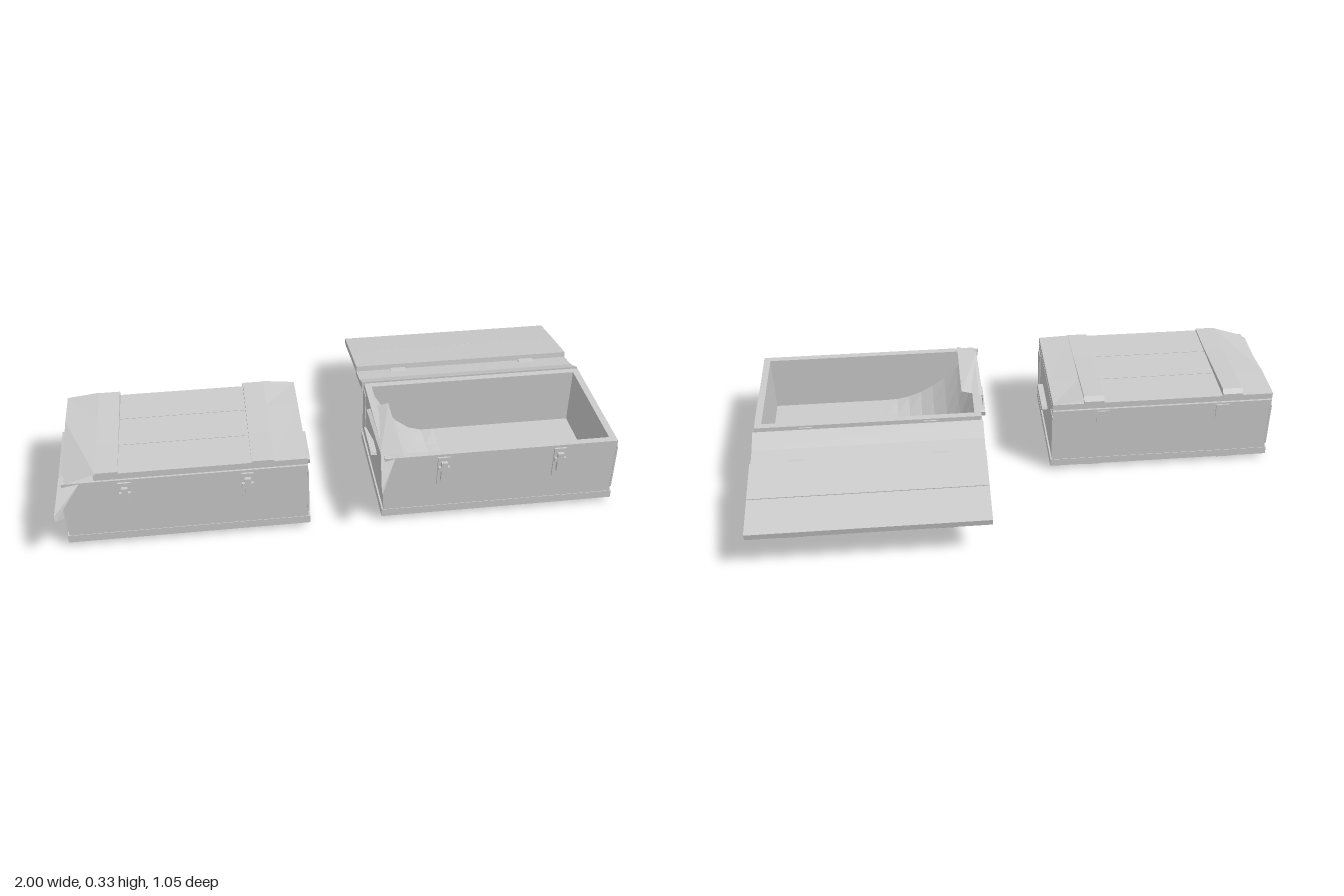
import * as THREE from 'three';

const mat = new THREE.MeshStandardMaterial({ color: 0xcccccc, flatShading: true, side: THREE.DoubleSide });

function add(parent, name, geometry) {
  const mesh = new THREE.Mesh(geometry, mat);
  mesh.name = name;
  parent.add(mesh);
  return mesh;
}

// Box given by its limits on each axis
function box(parent, name, x0, x1, y0, y1, z0, z1) {
  const g = new THREE.BoxGeometry(x1 - x0, y1 - y0, z1 - z0);
  g.translate((x0 + x1) / 2, (y0 + y1) / 2, (z0 + z1) / 2);
  return add(parent, name, g);
}

// Side profile in [z, y] points, swept along x from x0 to x1
function sweepX(parent, name, points, x0, x1) {
  const shape = new THREE.Shape(points.map(([z, y]) => new THREE.Vector2(-z, y)));
  const g = new THREE.ExtrudeGeometry(shape, { depth: x1 - x0, bevelEnabled: false });
  g.rotateY(Math.PI / 2).translate(x0, 0, 0);
  return add(parent, name, g);
}

// Thin sheet from corner points and triangles
function sheet(parent, name, corners, faces) {
  const g = new THREE.BufferGeometry();
  g.setAttribute('position', new THREE.Float32BufferAttribute(corners.flat(), 3));
  g.setIndex(faces.flat());
  g.computeVertexNormals();
  return add(parent, name, g);
}

const HX = 0.42, Z0 = -0.043, Z1 = 0.433; // half length, back and front of a crate
const SEAMS = [Z0, 0.115, 0.272, Z1];     // plank edges
const BATTEN = 0.265;

function makeBase(crate) {
  for (let i = 0; i < 3; i++) {
    box(crate, 'basePlank', -HX - 0.006, HX + 0.006, 0.018, 0.048, SEAMS[i] + (i ? 0.001 : -0.002), SEAMS[i + 1] - (i < 2 ? 0.001 : -0.002));
  }
  for (const s of [-1, 1]) {
    sweepX(crate, 'footRail', [[0.405, 0], [0.42, 0.008], [0.42, 0.02], [-0.035, 0.02], [-0.035, 0.008], [-0.022, 0]],
      s * BATTEN - 0.03, s * BATTEN + 0.03);
  }
}

function makeFittings(crate) {
  for (const s of [-1, 1]) {
    // Corner plates
    for (const [a, b] of [[Z0 - 0.002, 0.01], [0.378, Z1 + 0.002]]) {
      box(crate, 'cornerPlate', s * HX - 0.003, s * HX + 0.003, 0.07, 0.25, a, b);
    }
    // Latches on the front
    const x = s * 0.21;
    box(crate, 'latchPlate', x - 0.022, x + 0.022, 0.145, 0.265, Z1, Z1 + 0.007);
    box(crate, 'latchLever', x - 0.011, x + 0.011, 0.175, 0.25, Z1 + 0.005, Z1 + 0.02);
    box(crate, 'latchCatch', x - 0.02, x + 0.02, 0.215, 0.23, Z1 + 0.005, Z1 + 0.018);
    // Hinge leaves on the back
    box(crate, 'hinge', s * 0.23 - 0.025, s * 0.23 + 0.025, 0.205, 0.268, Z0 - 0.005, Z0);
    // Grip with tapered ends
    const grip = new THREE.Shape([[-0.085, 0.182], [-0.075, 0.188], [0.08, 0.188], [0.085, 0.178], [0.065, 0.162], [-0.08, 0.162]]
      .map(([z, y]) => new THREE.Vector2(z, y)));
    const g = new THREE.ExtrudeGeometry(grip, { depth: 0.022, bevelEnabled: false });
    g.rotateY(s * Math.PI / 2).translate(s * (HX + 0.002), 0, 0.195);
    add(crate, 'handle', g);
  }
}

// Bent corner sheet hanging off the left front corner
function makeTornCorner(crate, length) {
  sheet(crate, 'tornCorner', [
    [-0.31, 0.282, Z1], [-0.31, 0.285, 0.11], [-0.435, 0.262, 0.11],
    [-0.445, 0.212, 0.523], [-0.43, 0.275, 0.40], [-0.425, 0.14, 0.448],
    [-0.36, 0.272, Z1], [-0.442, 0.19, 0.523], [-0.437, 0.19, 0.12],
  ].map(([x, y, z]) => [-HX + (x + HX) * (x > -HX ? length : 1), y, z]), [
    [0, 1, 4], [1, 2, 4], [0, 4, 6], [4, 3, 6], [3, 7, 6],
    [7, 5, 4], [3, 4, 7], [2, 8, 4],
  ]);
}

function makeClosedCrate() {
  const crate = new THREE.Group();
  crate.name = 'closedCrate';
  makeBase(crate);
  box(crate, 'body', -HX, HX, 0.048, 0.275, Z0, Z1);
  makeFittings(crate);
  // Lid planks; only the rear one reaches the left end
  for (let i = 0; i < 3; i++) {
    box(crate, 'lidPlank', i ? -0.31 : -HX, HX, 0.28, 0.304, SEAMS[i] + 0.001, SEAMS[i + 1] - 0.001);
  }
  // Lid battens, lifting toward the back
  for (const s of [-1, 1]) {
    sweepX(crate, 'lidBatten', [[Z1, 0.3], [Z1, 0.311], [0.272, 0.313], [-0.028, 0.328], [Z0, 0.312], [Z0, 0.3]],
      s * BATTEN - 0.038, s * BATTEN + 0.038);
    // Curled boards outside each batten
    sheet(crate, 'curledBoard', [
      [s * 0.303, 0.32, Z0], [s * HX, 0.306, Z0], [s * HX, 0.306, 0.11],
      [s * 0.303, 0.312, 0.11], [s * 0.303, 0.309, Z1], [s * HX, s > 0 ? 0.305 : 0.27, Z1],
    ], [[0, 3, 1], [1, 3, 2], [3, 4, 2], [2, 4, 5]]);
  }
  makeTornCorner(crate, 1);
  return crate;
}

function makeOpenCrate() {
  const crate = new THREE.Group();
  crate.name = 'openCrate';
  makeBase(crate);
  // Hollow walls
  const rect = (a, b, c, d) => [[a, c], [b, c], [b, d], [a, d]].map(([x, z]) => new THREE.Vector2(x, -z));
  const wall = new THREE.Shape(rect(-HX, HX, Z0, Z1));
  wall.holes.push(new THREE.Path(rect(-HX + 0.025, HX - 0.025, Z0 + 0.025, Z1 - 0.025)));
  const g = new THREE.ExtrudeGeometry(wall, { depth: 0.227, bevelEnabled: false });
  g.rotateX(-Math.PI / 2).translate(0, 0.048, 0);
  add(crate, 'walls', g);
  // Lining that sweeps up from the floor to the left rim
  const lining = new THREE.PlaneGeometry(0.79, 0.426, 16, 4).rotateX(-Math.PI / 2).translate(0, 0, 0.195);
  const p = lining.attributes.position;
  for (let i = 0; i < p.count; i++) {
    const front = (p.getZ(i) - Z0) / (Z1 - Z0);
    const t = Math.max(0, 1 - (p.getX(i) + 0.395) / (0.2 + 0.14 * front));
    p.setY(i, 0.055 + 0.195 * t * t);
  }
  lining.computeVertexNormals();
  add(crate, 'lining', lining);
  makeFittings(crate);
  makeTornCorner(crate, 0.6);

  // Lid thrown back behind the crate, battens underneath
  const lid = new THREE.Group();
  lid.name = 'openLid';
  crate.add(lid);
  const planks = [
    [[-0.06, 0.27], [-0.13, 0.238], [-0.212, 0.222], [-0.212, 0.206], [-0.13, 0.217], [-0.06, 0.237]],
    [[-0.213, 0.243], [-0.374, 0.213], [-0.37, 0.188], [-0.209, 0.218]],
    [[-0.376, 0.212], [-0.527, 0.182], [-0.522, 0.157], [-0.372, 0.187]],
  ];
  for (const pts of planks) sweepX(lid, 'lidPlank', pts, -HX - 0.005, HX + 0.005);
  for (const s of [-1, 1]) {
    sweepX(lid, 'lidBatten', [[-0.065, 0.24], [-0.13, 0.22], [-0.212, 0.214], [-0.522, 0.162], [-0.52, 0.154], [-0.21, 0.205], [-0.13, 0.21], [-0.062, 0.225]],
      s * BATTEN - 0.038, s * BATTEN + 0.038);
    box(lid, 'lidHinge', s * 0.26 - 0.03, s * 0.26 + 0.03, 0.215, 0.228, -0.21, -0.175);
  }
  return crate;
}

export function createModel() {
  const model = new THREE.Group();
  model.name = 'supplyCrates';
  const closed = makeClosedCrate(), open = makeOpenCrate();
  closed.position.x = -0.555;
  open.position.x = 0.555;
  model.add(closed, open);
  return model;
}
